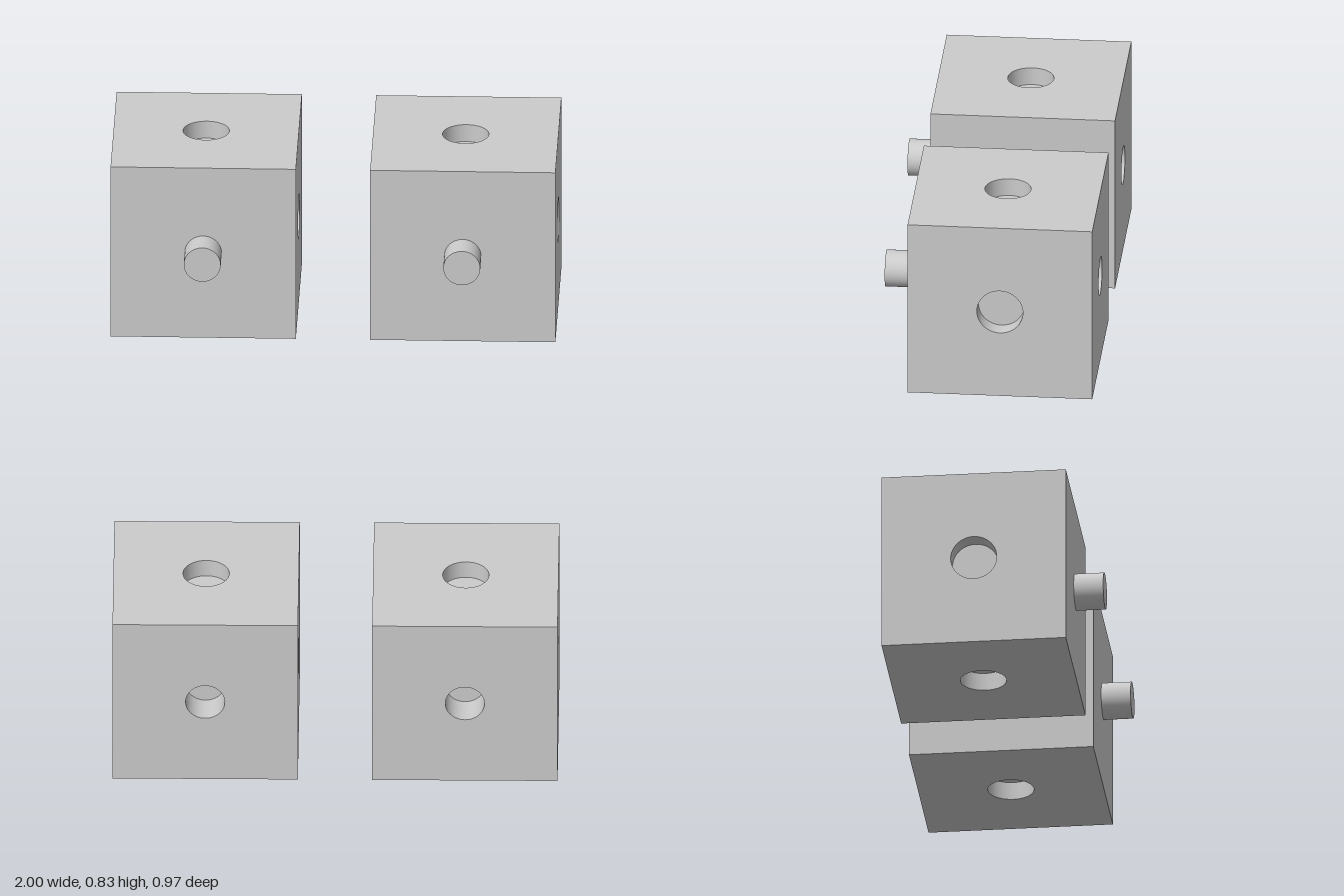
import * as THREE from 'three';

const SIZE = 0.833, HALF = SIZE / 2, SEG = 64;
const grey = new THREE.MeshStandardMaterial({ color: 0xcccccc });
const inside = new THREE.MeshStandardMaterial({ color: 0xcccccc, side: THREE.BackSide });

function add(parent, name, geometry, material = grey) {
  const mesh = new THREE.Mesh(geometry, material);
  mesh.name = name;
  parent.add(mesh);
  return mesh;
}

// One square face looking along +z, with an optional blind round hole
function makeFace(name, radius, depth) {
  const face = new THREE.Group();
  face.name = name;
  const square = new THREE.Shape([
    new THREE.Vector2(-HALF, -HALF), new THREE.Vector2(HALF, -HALF),
    new THREE.Vector2(HALF, HALF), new THREE.Vector2(-HALF, HALF),
  ]);
  if (radius) {
    square.holes.push(new THREE.Path().absarc(0, 0, radius, 0, Math.PI * 2, true));
    const wall = new THREE.CylinderGeometry(radius, radius, depth, SEG, 1, true);
    wall.rotateX(Math.PI / 2).translate(0, 0, HALF - depth / 2);
    add(face, 'holeWall', wall, inside);
    add(face, 'holeFloor', new THREE.CircleGeometry(radius, SEG).translate(0, 0, HALF - depth));
  }
  add(face, 'facePlate', new THREE.ShapeGeometry(square, SEG / 2).translate(0, 0, HALF));
  return face;
}

// name, rotation about x, rotation about y, hole radius, hole depth
const FACES = [
  ['frontFace', 0, 0, 0, 0],
  ['backFace', 0, Math.PI, 0.088, 0.146],
  ['leftFace', 0, Math.PI / 2, 0.104, 0.083],
  ['rightFace', 0, -Math.PI / 2, 0.104, 0.083],
  ['topFace', -Math.PI / 2, 0, 0.104, 0.083],
  ['bottomFace', Math.PI / 2, 0, 0.104, 0.083],
];

function makeBlock(name) {
  const block = new THREE.Group();
  block.name = name;
  for (const [faceName, rx, ry, radius, depth] of FACES) {
    const face = makeFace(faceName, radius, depth);
    face.rotation.set(rx, ry, 0);
    block.add(face);
  }
  // Connecting peg on the front
  const pegLength = 0.133;
  const peg = new THREE.CylinderGeometry(0.083, 0.083, pegLength, SEG);
  add(block, 'peg', peg.rotateX(Math.PI / 2).translate(0, 0, HALF + pegLength / 2));
  return block;
}

export function createModel() {
  const model = new THREE.Group();
  model.name = 'connectorBlocks';
  for (const side of [-1, 1]) {
    const block = makeBlock(side > 0 ? 'leftBlock' : 'rightBlock');
    block.position.set(side * (1 - HALF), HALF, -0.067);
    model.add(block);
  }
  return model;
}
